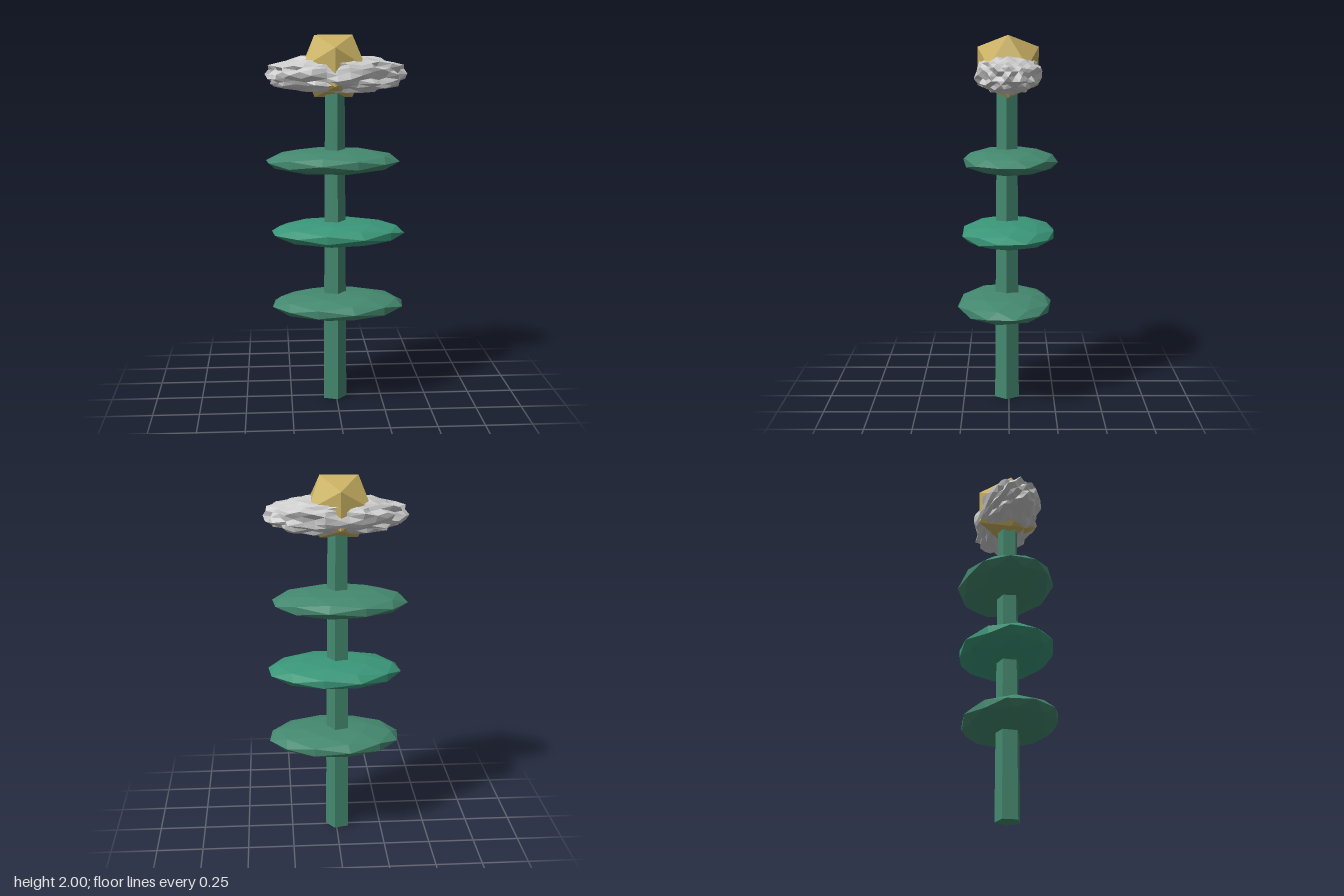
import * as THREE from 'three';

const material = (color) => new THREE.MeshStandardMaterial({ color, flatShading: true });

// Repeatable value in 0..1 shared by all corners at the same position
function hash(x, y, z) {
  const k = (v) => Math.round(v * 1000);
  const s = Math.sin(k(x) * 0.12987 + k(y) * 0.78233 + k(z) * 0.37719) * 43758.5453;
  return s - Math.floor(s);
}

function add(group, name, geometry, color, x, y, z) {
  const mesh = new THREE.Mesh(geometry, material(color));
  mesh.name = name;
  mesh.position.set(x, y, z);
  group.add(mesh);
  return mesh;
}

// Flattened ellipsoid with jagged, radially jittered points
function spikyGeometry(rx, ry, rz) {
  const geometry = new THREE.IcosahedronGeometry(1, 5);
  const p = geometry.attributes.position;
  for (let i = 0; i < p.count; i++) {
    const x = p.getX(i), y = p.getY(i), z = p.getZ(i);
    const r = 0.84 + 0.18 * hash(x, y, z);
    const fullY = Math.sign(y) * Math.pow(Math.abs(y), 0.78);
    p.setXYZ(i, x * r * rx, fullY * r * ry, z * r * rz);
  }
  geometry.computeVertexNormals();
  return geometry;
}

export function createModel() {
  const model = new THREE.Group();
  model.name = 'flower';

  // Five-sided tapering stem
  const stem = new THREE.CylinderGeometry(0.057, 0.07, 1.8, 5);
  stem.rotateY(THREE.MathUtils.degToRad(16));
  add(model, 'stem', stem, 0x44886f, -0.012, 0.9, 0.01);

  // Three flat faceted leaves: colour, height, offset and turn
  const leaves = [
    { color: 0x44886f, x: 0.01, y: 0.54, z: 0.022, turn: 0.2 },
    { color: 0x3a9678, x: 0.01, y: 0.94, z: 0.003, turn: 0.35 },
    { color: 0x44886f, x: -0.018, y: 1.33, z: -0.006, turn: -0.2 },
  ];
  for (const { color, x, y, z, turn } of leaves) {
    const leaf = new THREE.IcosahedronGeometry(1, 1);
    leaf.rotateY(turn);
    leaf.scale(0.367, 0.07, 0.262);
    add(model, 'leaf', leaf, color, x, y, z);
  }

  // Jagged petals around the flower centre
  add(model, 'petals', spikyGeometry(0.385, 0.106, 0.182), 0xcccccc, 0, 1.795, 0.004);

  // Faceted flower centre
  add(model, 'flowerCentre', new THREE.IcosahedronGeometry(0.192), 0xc8b062, -0.014, 1.837, 0.005);

  return model;
}
